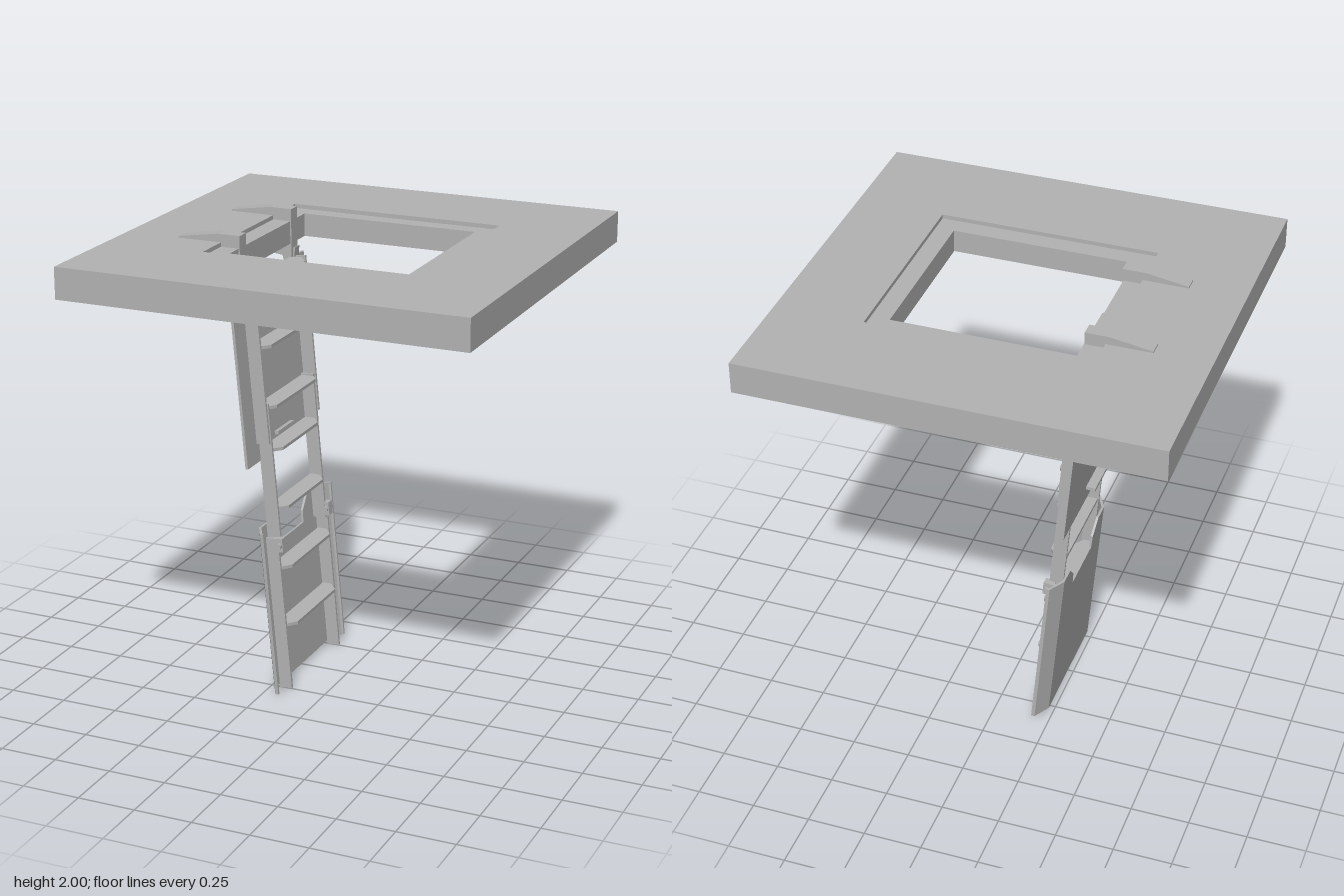
import * as THREE from 'three';

const grey = new THREE.MeshStandardMaterial({ color: 0xb2b2b2 });
grey.name = 'plain grey';

function add(parent, name, geometry, x = 0, y = 0, z = 0) {
  const mesh = new THREE.Mesh(geometry, grey);
  mesh.name = name;
  mesh.position.set(x, y, z);
  parent.add(mesh);
  return mesh;
}

const shapeOf = (points) => new THREE.Shape(points.map(([x, y]) => new THREE.Vector2(x, y)));
const rect = (x0, x1, y0, y1) => [[x0, y0], [x1, y0], [x1, y1], [x0, y1]];

function extrude(shape, depth) {
  return new THREE.ExtrudeGeometry(shape, { depth, bevelEnabled: false });
}

// Horizontal rectangular ring between two heights
function ring(outer, inner, y0, y1) {
  const shape = shapeOf(rect(...outer));
  shape.holes.push(new THREE.Path(shapeOf(rect(...inner)).getPoints()));
  return extrude(shape, y1 - y0).rotateX(-Math.PI / 2).translate(0, y0, 0);
}

// Outline in x,y extruded along z and centred there
const sidePlate = (points, width) => extrude(shapeOf(points), width).translate(0, 0, -width / 2);

export function createModel() {
  const model = new THREE.Group();
  model.name = 'loftLadder';

  // Ceiling slab and hatch frame
  const opening = [-0.445, 0.5, -0.44, 0.44];
  add(model, 'ceilingSlab', ring([-0.88, 0.88, -0.88, 0.88], opening, 1.83, 1.965));
  add(model, 'hatchFrame', ring(opening, [-0.365, 0.42, -0.36, 0.365], 1.848, 1.947));

  // Everything that hangs leans along the same line
  const ladder = new THREE.Group();
  ladder.name = 'ladder';
  ladder.position.set(-0.18, 0, 0);
  ladder.rotation.z = Math.atan(0.0885);
  model.add(ladder);

  for (const s of [-1, 1]) {
    // Hinge arms gripping the ceiling
    const arm = [[-0.64, 1.825], [-0.36, 1.79], [-0.36, 2], [-0.46, 2], [-0.64, 1.972]];
    add(model, 'hingeArm', sidePlate(arm, 0.06), 0, 0, s * 0.248);
    const hinge = [[-0.415, 1.81], [-0.375, 1.67], [-0.362, 1.665], [-0.35, 1.83]];
    add(model, 'hingePlate', sidePlate(hinge, 0.045), 0, 0, s * 0.255);

    // Upper, middle and lower rails
    const rails = [
      ['upperRail', 1.11, 1.8, 0.25, 0.062],
      ['middleRail', 0.62, 1.28, 0.227, 0.06],
      ['lowerRail', 0.003, 0.69, 0.25, 0.056],
    ];
    for (const [name, y0, y1, z, width] of rails) {
      add(ladder, name, new THREE.BoxGeometry(width, y1 - y0, 0.012), 0, (y0 + y1) / 2, s * z);
    }

    // Folding joint with its pin
    add(ladder, 'foldJoint', new THREE.BoxGeometry(0.045, 0.06, 0.035), 0.026, 0.66, s * 0.24);
    add(ladder, 'jointPin', new THREE.CylinderGeometry(0.012, 0.012, 0.06, 12).rotateX(Math.PI / 2),
      0.034, 0.66, s * 0.24);

    // Flared side flange of the lower panel
    const flange = shapeOf([[-0.046, 0.25], [-0.046, 0.275], [-0.005, 0.35], [0.01, 0.352],
      [0.01, 0.342], [0, 0.34], [-0.036, 0.27], [-0.036, 0.25]].map(([x, z]) => [x, -s * z]));
    add(ladder, 'panelFlange', extrude(flange, 0.73).rotateX(-Math.PI / 2), 0, 0.012, 0);
  }

  // Upper hatch panel and its handle
  add(ladder, 'upperPanel', new THREE.BoxGeometry(0.012, 0.765, 0.71), -0.034, 1.412, 0);
  add(ladder, 'panelHandle', new THREE.BoxGeometry(0.07, 0.015, 0.16), -0.045, 1.105, 0);

  // Lower hatch panel with a notched top
  const notched = shapeOf([[-0.25, 0.012], [0.25, 0.012], [0.25, 0.742], [0.195, 0.742], [0.135, 0.68],
    [0.13, 0.625], [-0.13, 0.625], [-0.135, 0.68], [-0.195, 0.742], [-0.25, 0.742]]);
  add(ladder, 'lowerPanel', extrude(notched, 0.01).rotateY(Math.PI / 2), -0.046, 0, 0);

  // Treads, level and narrowed at the rails
  [1.78, 1.52, 1.26, 1.07, 0.81, 0.55, 0.29].forEach((y) => {
    const end = y === 1.07 || y === 0.81 ? 0.225 : 0.245;
    const nose = -0.123 - 0.0915 * y;
    const tread = shapeOf([[-0.08, -end], [-0.04, -end], [0, -end + 0.05], [0, end - 0.05],
      [-0.04, end], [-0.08, end]]);
    add(model, 'tread', extrude(tread, 0.014).rotateX(-Math.PI / 2), nose, y - 0.007, 0);
  });

  return model;
}
